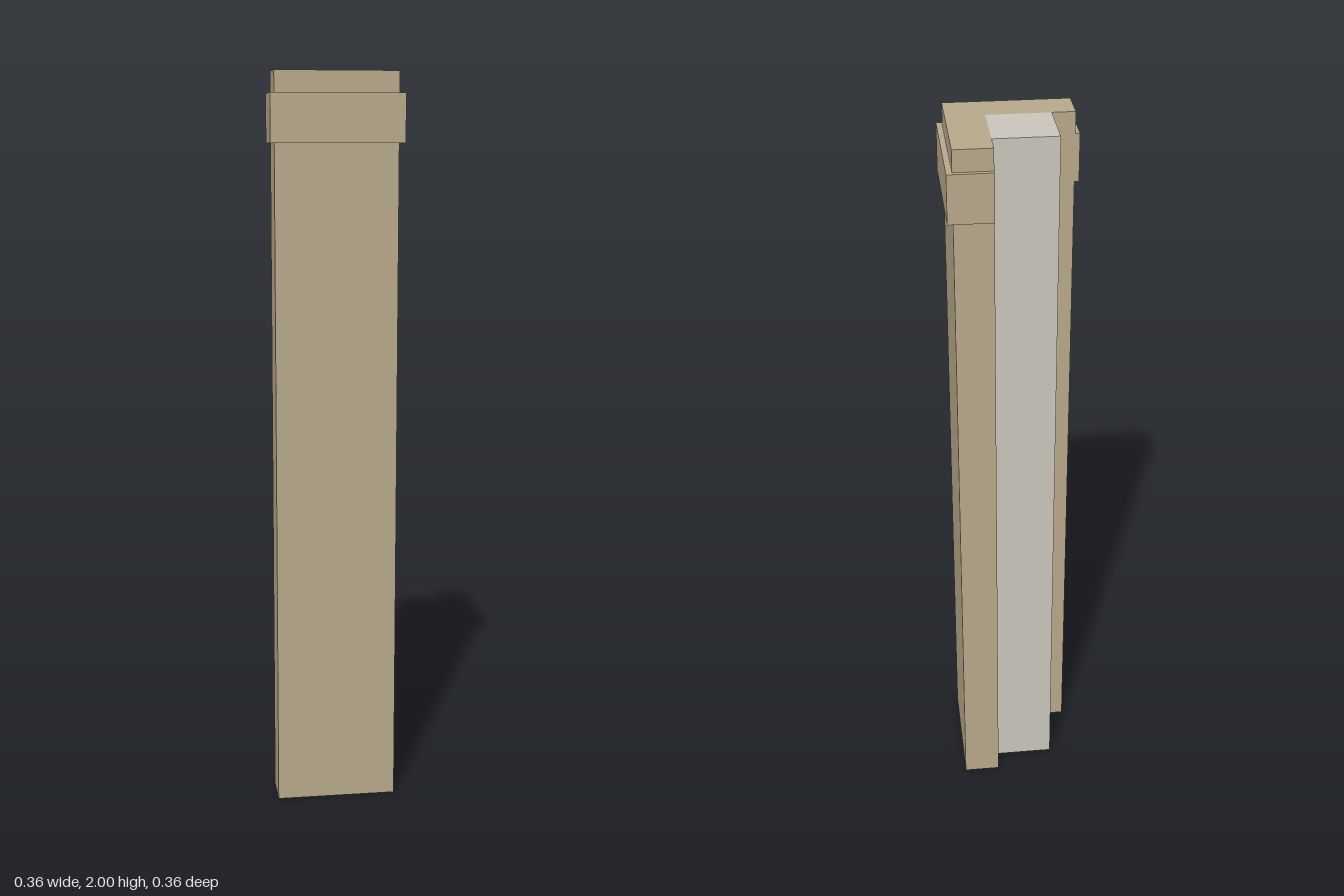
import * as THREE from 'three';

const tan = new THREE.MeshStandardMaterial({ color: 0xb8a98b });
tan.name = 'tan casing';
const grey = new THREE.MeshStandardMaterial({ color: 0xcac6bc });
grey.name = 'pale grey core';

// Plan outline given as [x, z] points, raised from y0 to y1
function prism(name, outline, y0, y1, material) {
  const shape = new THREE.Shape(outline.map(([x, z]) => new THREE.Vector2(x, -z)));
  const geometry = new THREE.ExtrudeGeometry(shape, { depth: y1 - y0, bevelEnabled: false });
  geometry.rotateX(-Math.PI / 2);
  geometry.translate(0, y0, 0);
  const mesh = new THREE.Mesh(geometry, material);
  mesh.name = name;
  return mesh;
}

export function createModel() {
  const group = new THREE.Group();
  group.name = 'cornerColumn';

  const inner = 0.062;              // inside corner of the casing
  const b0 = -0.166, b1 = 0.163;    // casing extents
  const t0 = -0.178, t1 = 0.178;    // trim band extents
  const core = -0.105;              // outer faces of the post

  // L-shaped casing wrapping the front and left sides
  group.add(prism('casing', [
    [b0, inner], [b0, b1], [b1, b1], [b1, b0], [inner, b0], [inner, inner],
  ], 0, 2, tan));

  // Raised band around the outside of the casing, including its two ends
  group.add(prism('trimBand', [
    [t0, inner], [t0, t1], [t1, t1], [t1, t0], [inner, t0],
    [inner, b0], [b1, b0], [b1, b1], [b0, b1], [b0, inner],
  ], 1.815, 1.943, tan));

  // Square post set in the inside corner
  group.add(prism('corePost', [
    [core, core], [core, inner], [inner, inner], [inner, core],
  ], 0, 2, grey));

  return group;
}
